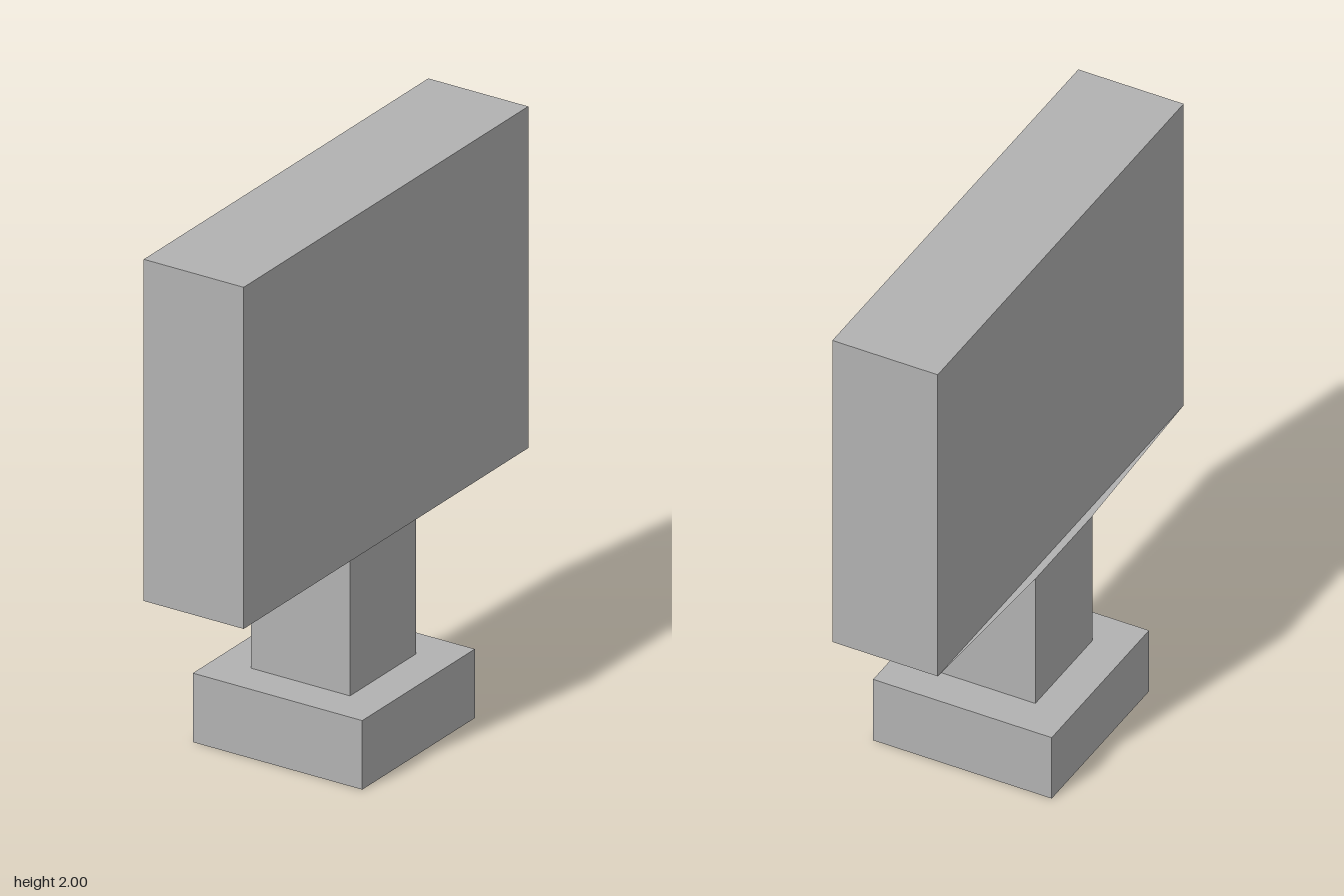
import * as THREE from 'three';

export function createModel() {
  const model = new THREE.Group();
  model.name = 'panelOnPedestal';
  const grey = new THREE.MeshStandardMaterial({ color: 0xb2b2b2 });
  grey.name = 'grey';
  const greySheet = new THREE.MeshStandardMaterial({ color: 0xb2b2b2, side: THREE.DoubleSide });
  greySheet.name = 'grey sheet';

  // Box given by its lower and upper corners
  const block = (name, [x0, y0, z0], [x1, y1, z1]) => {
    const mesh = new THREE.Mesh(new THREE.BoxGeometry(x1 - x0, y1 - y0, z1 - z0), grey);
    mesh.position.set((x0 + x1) / 2, (y0 + y1) / 2, (z0 + z1) / 2);
    mesh.name = name;
    model.add(mesh);
  };

  block('base', [-0.335, 0, -0.361], [0.333, 0.25, 0.308]);
  block('column', [-0.198, 0.25, -0.222], [0.193, 0.761, 0.17]);
  block('panel', [-0.172, 0.762, -0.845], [0.222, 2, 0.845]);

  // Thin tapering ledge from the panel's lower edge out to the column
  const outline = [[-0.172, -0.845], [-0.172, 0.845], [-0.198, 0.17], [-0.198, -0.222]];
  const ledge = new THREE.Mesh(
    new THREE.ShapeGeometry(new THREE.Shape(outline.map(([x, z]) => new THREE.Vector2(x, z)))),
    greySheet
  );
  ledge.geometry.rotateX(Math.PI / 2);
  ledge.position.y = 0.762;
  ledge.name = 'ledge';
  model.add(ledge);

  return model;
}
